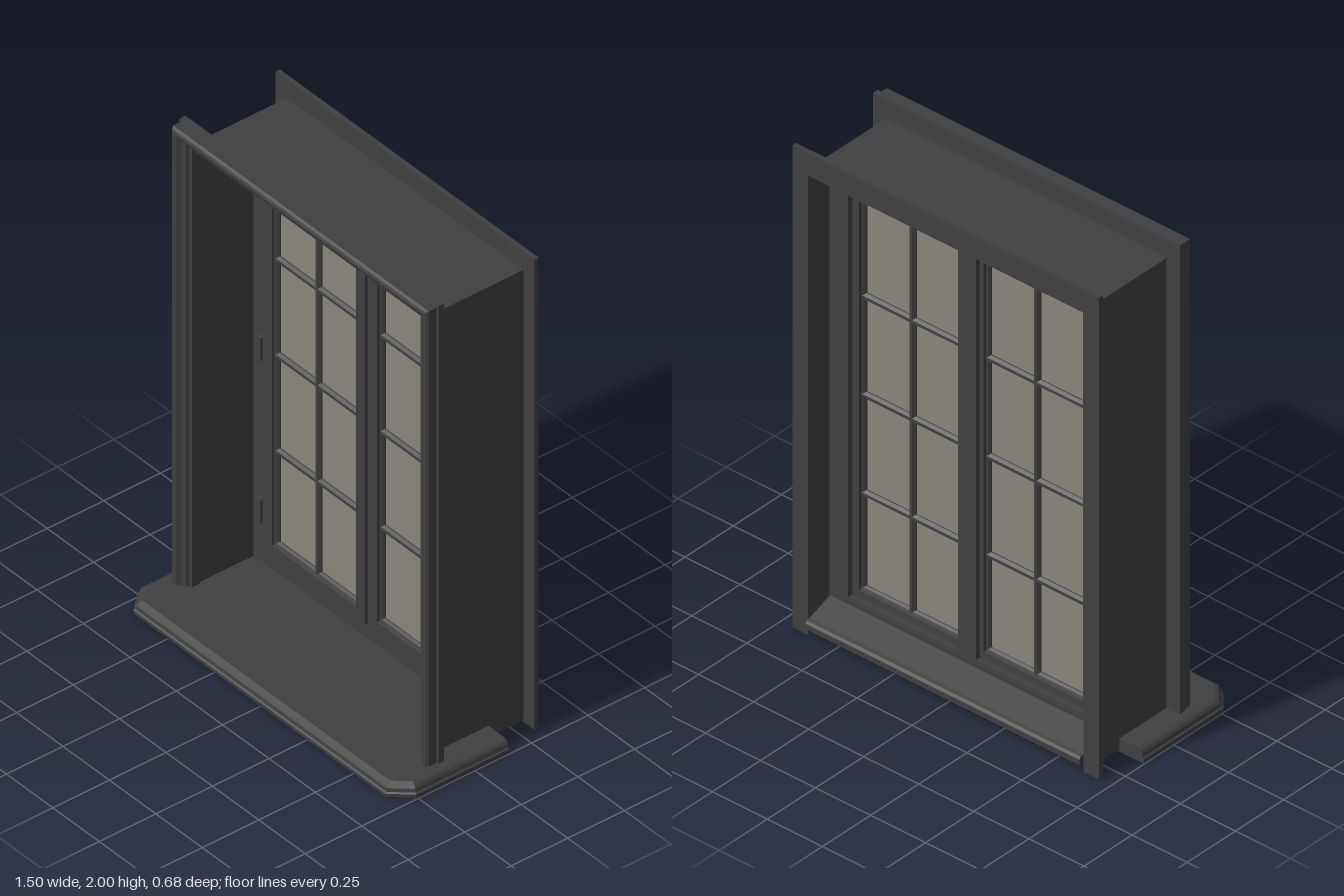
import * as THREE from 'three';

const frameMat = new THREE.MeshStandardMaterial({ color: 0x404040 });
const glassMat = new THREE.MeshStandardMaterial({ color: 0x8a847b });

function add(parent, name, geo, mat = frameMat) {
  const m = new THREE.Mesh(geo, mat);
  m.name = name;
  parent.add(m);
  return m;
}

function box(parent, name, x0, x1, y0, y1, z0, z1, mat) {
  const g = new THREE.BoxGeometry(x1 - x0, y1 - y0, z1 - z0);
  g.translate((x0 + x1) / 2, (y0 + y1) / 2, (z0 + z1) / 2);
  return add(parent, name, g, mat);
}

// Connects equal-length loops of [x, y, z]; a ring joins last to first, otherwise ends are capped
function loft(loops, ring = false) {
  const pos = [];
  const tri = (a, b, c) => pos.push(...a, ...b, ...c);
  const n = loops[0].length, count = loops.length;
  for (let i = 0; i < (ring ? count : count - 1); i++) {
    const a = loops[i], b = loops[(i + 1) % count];
    for (let j = 0; j < n; j++) {
      const k = (j + 1) % n;
      tri(a[j], a[k], b[k]);
      tri(a[j], b[k], b[j]);
    }
  }
  if (!ring) {
    const first = loops[0], last = loops[count - 1];
    for (let j = 1; j < n - 1; j++) {
      tri(last[0], last[j], last[j + 1]);
      tri(first[0], first[j + 1], first[j]);
    }
  }
  const g = new THREE.BufferGeometry();
  g.setAttribute('position', new THREE.Float32BufferAttribute(pos, 3));
  g.computeVertexNormals();
  return g;
}

// Flat plate [x0, x1, y0, y1] with rectangular holes, between two depths
function plate(outer, holes, z0, z1) {
  const trace = (p, [x0, x1, y0, y1]) =>
    p.moveTo(x0, y0).lineTo(x1, y0).lineTo(x1, y1).lineTo(x0, y1).closePath();
  const s = trace(new THREE.Shape(), outer);
  for (const h of holes) s.holes.push(trace(new THREE.Path(), h));
  return new THREE.ExtrudeGeometry(s, { depth: z1 - z0, bevelEnabled: false }).translate(0, 0, z0);
}

// Three-sided plate, open at the bottom
function arch(wOut, wIn, yBase, yTop, yIn, z0, z1) {
  const s = new THREE.Shape([[-wOut, yBase], [-wIn, yBase], [-wIn, yIn], [wIn, yIn],
    [wIn, yBase], [wOut, yBase], [wOut, yTop], [-wOut, yTop]].map(p => new THREE.Vector2(...p)));
  return new THREE.ExtrudeGeometry(s, { depth: z1 - z0, bevelEnabled: false }).translate(0, 0, z0);
}

function createSash() {
  const g = new THREE.Group();
  const L = 0.05, R = 0.516, B = 0.164, T = 1.793, mid = -0.165;
  add(g, 'sashFrame', plate([0.013, 0.565, 0.117, 1.836], [[L, R, B, T]], -0.192, -0.14));

  // moulded bead around the glazing, mitred at the corners
  const bead = [[0, -0.194], [0, -0.136], [0.007, -0.136], [0.009, -0.146], [0.016, -0.149],
    [0.022, -0.158], [0.022, -0.172], [0.016, -0.181], [0.009, -0.184], [0.007, -0.194]];
  const corners = [[L, B, 1, 1], [L, T, 1, -1], [R, T, -1, -1], [R, B, -1, 1]];
  add(g, 'glazingBead', loft(corners.map(([x, y, sx, sy]) =>
    bead.map(([u, z]) => [x + sx * u, y + sy * u, z])), true));

  // glazing bars
  const bar = (len) => {
    const c = new THREE.CylinderGeometry(0.016, 0.016, len, 8).toNonIndexed();
    c.rotateY(Math.PI / 8);
    c.scale(1, 1, 1.25);
    c.computeVertexNormals();
    return c;
  };
  add(g, 'verticalBar', bar(T - B - 0.02)).position.set((L + R) / 2, (B + T) / 2, mid);
  for (const y of [0.568, 0.976, 1.385]) {
    const m = add(g, 'horizontalBar', bar(R - L - 0.02));
    m.rotation.z = Math.PI / 2;
    m.position.set((L + R) / 2, y, mid);
  }
  box(g, 'glass', L + 0.01, R - 0.01, B + 0.01, T - 0.01, mid - 0.003, mid + 0.003, glassMat);

  // hinges on the outer stile
  for (const y of [0.28, 0.97, 1.665]) box(g, 'hinge', 0.57, 0.594, y - 0.05, y + 0.05, -0.155, -0.134);
  return g;
}

export function createModel() {
  const model = new THREE.Group();
  model.name = 'casementWindow';

  // deep lining of the opening and the fixed frame
  add(model, 'lining', arch(0.637, 0.625, 0.008, 1.922, 1.907, -0.308, 0.1));
  add(model, 'fixedFrame', plate([-0.628, 0.628, 0.05, 1.91],
    [[0.04, 0.54, 0.14, 1.812], [-0.54, -0.04, 0.14, 1.812]], -0.215, -0.15));

  // pair of sashes
  for (const s of [1, -1]) {
    const sash = createSash();
    sash.name = s > 0 ? 'leftSash' : 'rightSash';
    if (s < 0) sash.scale.x = -1;
    model.add(sash);
  }

  // moulded front architrave, swept up, across and down
  const trim = [[0.08, 0.093], [0.08, 0.118], [0.072, 0.12], [0.072, 0.154], [0.066, 0.163],
    [0.056, 0.167], [0.044, 0.163], [0.038, 0.154], [0.03, 0.146], [0.018, 0.142],
    [0.014, 0.132], [0, 0.13], [0, 0.093]];
  add(model, 'frontArchitrave', loft([[-1, 0], [-1, 1], [1, 1], [1, 0]].map(([s, top]) =>
    trim.map(([u, z]) => [s * (0.617 + u), top ? 1.92 + u : 0.05, z]))));

  // flat flange at the back
  add(model, 'backFlange', arch(0.697, 0.625, 0, 2, 1.907, -0.325, -0.306));

  // inner sill board with chamfered corners and a rounded edge
  const levels = [[0, 0.005], [0.007, 0], [0.02, 0], [0.024, 0.006], [0.038, 0.009],
    [0.048, 0.016], [0.055, 0.03]];
  add(model, 'sillBoard', loft(levels.map(([y, i]) => {
    const w = 0.75 - i, c = 0.26 - i * 0.41, f = 0.337 - i, x = 0.68 - i * 0.41;
    return [[-w, y, -0.152], [-w, y, c], [-x, y, f], [x, y, f], [w, y, c], [w, y, -0.152]];
  })));

  // sloping outer sill with a turned-down drip edge
  const drip = new THREE.Shape([[-0.2, 0.115], [-0.32, 0.071], [-0.335, 0.067], [-0.342, 0.057],
    [-0.342, 0.035], [-0.336, 0.035], [-0.336, 0.054], [-0.33, 0.061], [-0.32, 0.063],
    [-0.2, 0.105]].map(([z, y]) => new THREE.Vector2(-z, y)));
  const dripGeo = new THREE.ExtrudeGeometry(drip, { depth: 1.244, bevelEnabled: false });
  dripGeo.translate(0, 0, -0.622).rotateY(Math.PI / 2);
  add(model, 'outerSill', dripGeo);

  return model;
}
